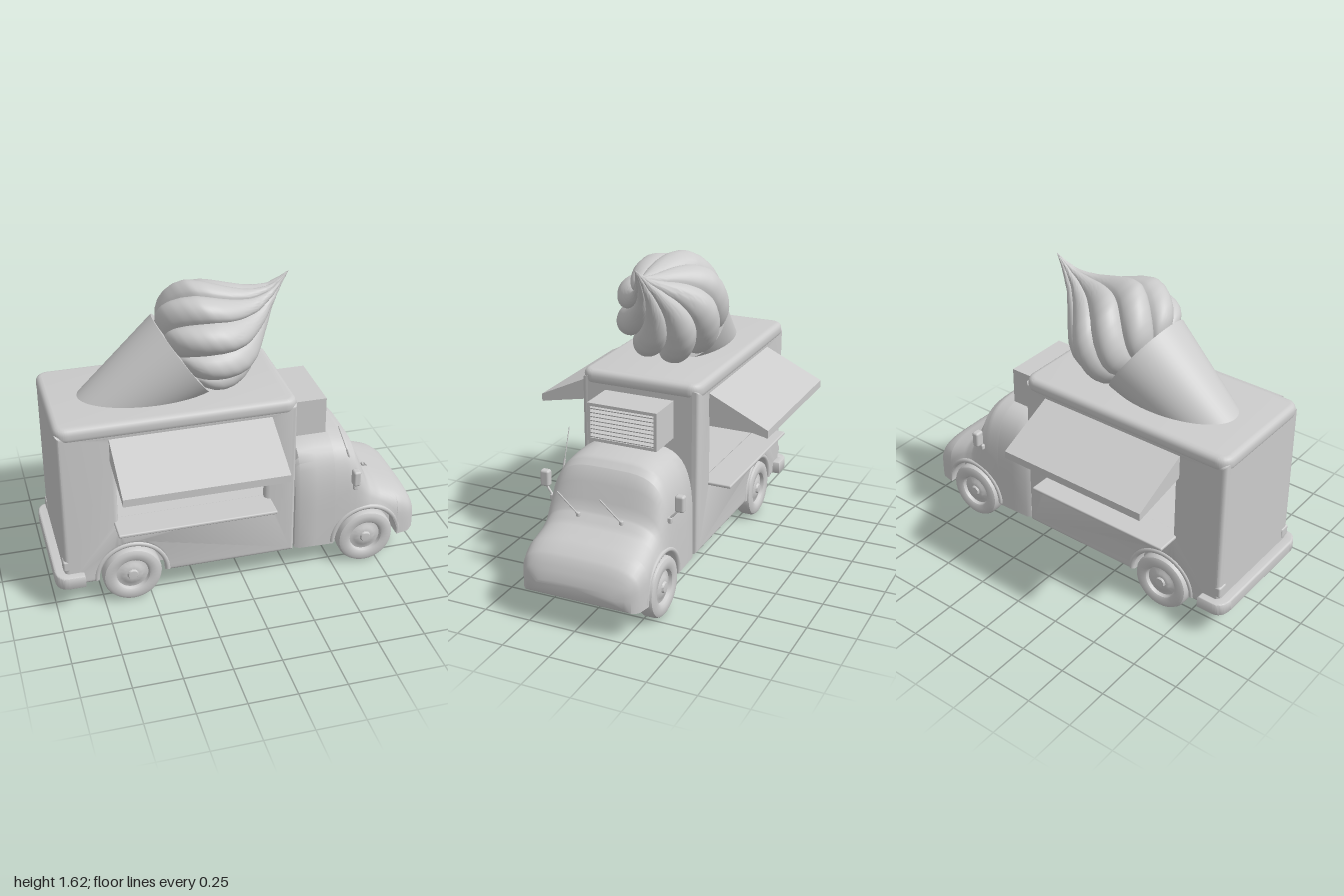
import * as THREE from 'three';
import { toCreasedNormals } from 'three/addons/utils/BufferGeometryUtils.js';
import { RoundedBoxGeometry } from 'three/addons/geometries/RoundedBoxGeometry.js';

const grey = new THREE.MeshStandardMaterial({ color: 0xcccccc });
const greyThin = new THREE.MeshStandardMaterial({ color: 0xcccccc, side: THREE.DoubleSide });
const WHEEL_Y = 0.155, REAR_X = -0.6, FRONT_X = 0.68;

export function createModel() {
  const root = new THREE.Group();

  const add = (name, geo, pos = [0, 0, 0], mat = grey) => {
    const m = new THREE.Mesh(geo, mat);
    m.name = name;
    m.position.set(...pos);
    root.add(m);
    return m;
  };
  // box from its min and max corners, optionally with rounded edges
  const box = (name, a, b, r = 0) => {
    const s = a.map((v, i) => b[i] - v), c = a.map((v, i) => (v + b[i]) / 2);
    return add(name, r ? new RoundedBoxGeometry(...s, 3, r) : new THREE.BoxGeometry(...s), c);
  };
  // thin rod between two points
  const rod = (name, a, b, r) => {
    const p = new THREE.Vector3(...a), q = new THREE.Vector3(...b);
    return add(name, new THREE.TubeGeometry(new THREE.LineCurve3(p, q), 1, r, 6), [0, 0, 0], greyThin);
  };
  // straight-line table lookup
  const lookup = (table, x) => {
    let i = 0;
    while (i < table.length - 2 && x > table[i + 1][0]) i++;
    const [x0, y0] = table[i], [x1, y1] = table[i + 1];
    return y0 + (y1 - y0) * THREE.MathUtils.clamp((x - x0) / (x1 - x0), 0, 1);
  };
  // skin over closed rings, capped at both ends
  const loft = (rings, crease) => {
    const n = rings[0].length, last = rings.length - 1, pos = [], idx = [];
    rings.forEach(r => r.forEach(p => pos.push(...p)));
    for (let i = 0; i < last; i++) for (let j = 0; j < n; j++) {
      const k = (j + 1) % n, a = i * n + j, b = i * n + k;
      idx.push(a, b, b + n, a, b + n, a + n);
    }
    [0, last].forEach((i, e) => {
      const c = pos.length / 3;
      pos.push(...[0, 1, 2].map(k => rings[i].reduce((s, p) => s + p[k], 0) / n));
      for (let j = 0; j < n; j++) {
        const a = i * n + j, b = i * n + (j + 1) % n;
        idx.push(c, ...(e ? [a, b] : [b, a]));
      }
    });
    const g = new THREE.BufferGeometry();
    g.setAttribute('position', new THREE.Float32BufferAttribute(pos, 3));
    g.setIndex(idx);
    g.computeVertexNormals();
    return toCreasedNormals(g, crease);
  };
  const roundRect = (x0, y0, x1, y1, r, S = THREE.Shape) => {
    const s = new S();
    s.moveTo(x0 + r, y0);
    s.lineTo(x1 - r, y0); s.quadraticCurveTo(x1, y0, x1, y0 + r);
    s.lineTo(x1, y1 - r); s.quadraticCurveTo(x1, y1, x1 - r, y1);
    s.lineTo(x0 + r, y1); s.quadraticCurveTo(x0, y1, x0, y1 - r);
    s.lineTo(x0, y0 + r); s.quadraticCurveTo(x0, y0, x0 + r, y0);
    return s;
  };
  const extrude = (shape, depth, bevel = 0) => toCreasedNormals(new THREE.ExtrudeGeometry(shape, {
    depth, bevelEnabled: bevel > 0, bevelSize: bevel, bevelThickness: bevel, bevelSegments: 4, curveSegments: 20,
  }), 0.6);

  // van body: two side walls with serving window and wheel arch
  const wall = new THREE.Shape();
  wall.moveTo(-0.925, 0.165);
  wall.lineTo(REAR_X - 0.2, 0.165);
  wall.absarc(REAR_X, 0.165, 0.2, Math.PI, 0, true);
  wall.lineTo(0.25, 0.165);
  wall.lineTo(0.25, 1.0);
  wall.lineTo(-0.925, 1.0);
  wall.holes.push(roundRect(-0.685, 0.465, 0.135, 0.98, 0.02, THREE.Path));
  const wallGeo = extrude(wall, 0.01, 0.025);
  for (const s of [1, -1]) {
    add('sideWall', wallGeo, [0, 0, s * 0.295 - 0.005]);
    box('rearFloorEdge', [-0.94, 0.142, s * 0.26 - 0.04], [-0.79, 0.2, s * 0.26 + 0.04]);
    box('floorEdge', [-0.41, 0.142, s * 0.26 - 0.04], [0.26, 0.2, s * 0.26 + 0.04]);
    const well = new THREE.CylinderGeometry(0.178, 0.178, 0.09, 24, 1, true, Math.PI / 2, Math.PI);
    add('rearWheelWell', well.rotateX(Math.PI / 2), [REAR_X, 0.16, s * 0.25], greyThin);
  }
  box('rearWall', [-0.95, 0.142, -0.29], [-0.9, 1.02, 0.29]);
  box('frontWall', [0.225, 0.142, -0.29], [0.275, 1.02, 0.29]);
  box('floor', [-0.94, 0.141, -0.225], [0.26, 0.36, 0.225]);

  // roof slab
  const roof = extrude(roundRect(-0.925, -0.3, 0.25, 0.3, 0.04), 0.02, 0.03);
  add('roof', roof.rotateX(-Math.PI / 2), [0, 1.01, 0]);

  // awnings and counters on both sides
  for (const s of [1, -1]) {
    const section = pts => new THREE.Shape(pts.map(([z, y]) => new THREE.Vector2(s * z, y)));
    const awningPart = (name, pts, x0, x1) =>
      add(name, extrude(section(pts), x1 - x0).rotateY(-Math.PI / 2), [x1, 0, 0]);
    awningPart('awning', [[0.315, 0.985], [0.642, 0.83], [0.642, 0.79], [0.63, 0.79], [0.63, 0.82], [0.315, 0.968]], -0.69, 0.14);
    for (const x of [-0.69, 0.128])
      awningPart('awningEnd', [[0.315, 0.975], [0.638, 0.825], [0.638, 0.79], [0.315, 0.855]], x, x + 0.012);
    box('counter', [-0.685, 0.477, s * 0.365 - 0.085], [0.14, 0.495, s * 0.365 + 0.085], 0.007);
  }

  // cab: cross-sections along x, the lower edge rising over the front wheels
  const top = [[0.285, 0.7], [0.31, 0.735], [0.4, 0.748], [0.5, 0.745], [0.58, 0.732], [0.62, 0.7], [0.66, 0.6],
    [0.7, 0.495], [0.757, 0.446], [0.82, 0.42], [0.89, 0.393], [0.945, 0.35], [0.977, 0.29], [0.995, 0.245]];
  const half = [[0.285, 0.3], [0.31, 0.315], [0.6, 0.325], [0.86, 0.33], [0.93, 0.315], [0.965, 0.285], [0.995, 0.21]];
  const R = 0.18;
  const stations = top.map(([x]) => x).concat([0.93, 0.965, FRONT_X - R - 0.001, FRONT_X + R + 0.001]);
  for (let i = 0; i <= 18; i++) stations.push(FRONT_X - R * Math.cos(Math.PI * i / 18));
  stations.sort((a, b) => a - b);
  const cabRings = stations.map(x => {
    const H = lookup(top, x), w = lookup(half, x), dx = x - FRONT_X;
    const arch = Math.abs(dx) <= R + 1e-6 ? WHEEL_Y + Math.sqrt(Math.max(0, R * R - dx * dx)) : 0.14;
    const b = x > 0.96 ? 0.14 + (x - 0.96) * 1.4 : arch;
    const side = [];
    for (let i = 0; i <= 12; i++) {
      const y = b + (H - b) * Math.sqrt(Math.max(0, Math.cos(Math.PI / 2 * i / 12)));
      const t = Math.max(0, (y - 0.2) / (H - 0.2));
      side.push([x, y, w * Math.pow(Math.max(0, 1 - t ** 4), 0.25)]);
    }
    return side.concat(side.slice(1).reverse().map(([px, y, z]) => [px, y, -z]));
  });
  add('cab', loft(cabRings, 0.75));
  box('cabUnderbody', [0.29, 0.141, -0.225], [0.93, 0.3, 0.225]);

  // wheels with arch flares; the profile runs from inner to outer face
  const tyre = [[0, -0.045], [0.13, -0.045], [0.148, -0.038], [0.155, -0.022], [0.155, 0.026], [0.148, 0.04],
    [0.132, 0.048], [0.1, 0.046], [0.09, 0.04], [0.084, 0.022], [0.06, 0.026], [0.05, 0.034], [0.03, 0.036], [0.024, 0.046], [0, 0.048]];
  const wheelGeo = toCreasedNormals(new THREE.LatheGeometry(tyre.map(p => new THREE.Vector2(...p)), 36), 0.6);
  for (const x of [REAR_X, FRONT_X]) for (const s of [1, -1]) {
    add('wheel', wheelGeo, [x, WHEEL_Y, s * 0.288]).rotation.x = s * Math.PI / 2;
    add('archFlare', new THREE.TorusGeometry(0.187, 0.014, 8, 28, Math.PI), [x, WHEEL_Y, s * 0.318]);
  }
  for (const x of [REAR_X, FRONT_X])
    rod('axle', [x, WHEEL_Y, -0.26], [x, WHEEL_Y, 0.26], 0.015);

  // wrap-around rear bumper and tail lamps
  const b = new THREE.Shape();
  b.moveTo(-0.86, 0.355); b.lineTo(-0.93, 0.355);
  b.quadraticCurveTo(-0.99, 0.355, -0.99, 0.28); b.lineTo(-0.99, -0.28);
  b.quadraticCurveTo(-0.99, -0.355, -0.93, -0.355); b.lineTo(-0.86, -0.355);
  b.lineTo(-0.86, -0.32); b.lineTo(-0.935, -0.32); b.lineTo(-0.935, 0.32); b.lineTo(-0.86, 0.32);
  add('rearBumper', extrude(b, 0.05, 0.01).rotateX(-Math.PI / 2), [0, 0.16, 0]);

  // mirrors, tail lamps
  for (const s of [1, -1]) {
    box('tailLamp', [-0.956, 0.235, s * 0.295 - 0.03], [-0.91, 0.295, s * 0.295 + 0.03], 0.01);
    box('mirror', [0.57, 0.53, s * 0.37 - 0.025], [0.61, 0.617, s * 0.37 + 0.025], 0.012);
    rod('mirrorArm', [0.6, 0.535, s * 0.36], [0.61, 0.485, s * 0.315], 0.006);
    box('mirrorFoot', [0.595, 0.47, s * 0.32 - 0.015], [0.62, 0.5, s * 0.32 + 0.015], 0.006);
  }

  // wipers and aerial
  for (const z of [0.25, 0.015]) {
    rod('wiper', [0.69, 0.56, z], [0.735, 0.487, z - 0.135], 0.004);
    box('wiperPivot', [0.718, 0.47, z - 0.145], [0.738, 0.492, z - 0.125], 0.006);
  }
  rod('aerial', [0.515, 0.838, 0.27], [0.582, 0.65, 0.27], 0.0025);
  rod('aerialBase', [0.57, 0.685, 0.27], [0.585, 0.64, 0.27], 0.006);

  // cooling unit above the cab: case, frame, slats and two fans
  box('coolerCase', [0.27, 0.765, -0.19], [0.44, 0.965, 0.19]);
  for (const s of [1, -1]) {
    box('coolerFrameSide', [0.44, 0.765, s * 0.182 - 0.008], [0.475, 0.965, s * 0.182 + 0.008]);
    box('coolerFrameEdge', [0.44, 0.865 + s * 0.092 - 0.008, -0.175], [0.475, 0.865 + s * 0.092 + 0.008, 0.175]);
    for (let i = 0; i < 6; i++) {
      const blade = box('fanBlade', [0.442, 0.87, s * 0.085 - 0.015], [0.447, 0.94, s * 0.085 + 0.015]);
      blade.geometry.translate(0, 0.04, 0);
      blade.position.y = 0.865;
      blade.rotation.x = i * Math.PI / 3;
    }
  }
  for (let i = 0; i < 8; i++) {
    const y = 0.79 + i * 0.0214;
    box('coolerSlat', [0.452, y - 0.003, -0.175], [0.474, y + 0.003, 0.175]).rotation.z = -0.4;
  }

  // wafer cone leaning out of the roof, cut off inside the roof slab
  const TILT = -0.975, RIM = [-0.25, 1.235, 0];
  const cone = new THREE.CylinderGeometry(0.245, 0.121, 0.75, 48, 40);
  cone.translate(0, -0.375, 0).rotateZ(TILT).translate(...RIM);
  const cp = cone.attributes.position;
  for (let i = 0; i < cp.count; i++) cp.setY(i, Math.max(cp.getY(i), 1.035));
  add('cone', toCreasedNormals(cone, 0.7));

  // twisted, ribbed ice cream swirl drawn out to a point
  const radius = [[-0.02, 0.19], [0, 0.225], [0.03, 0.26], [0.07, 0.285], [0.12, 0.298], [0.18, 0.3], [0.24, 0.288], [0.3, 0.25],
    [0.35, 0.205], [0.4, 0.158], [0.45, 0.115], [0.5, 0.076], [0.56, 0.042], [0.62, 0.018], [0.68, 0.001]];
  const bend = [[0, 0], [0.25, 0], [0.35, 0.015], [0.45, 0.03], [0.55, 0.028], [0.68, 0]];
  const swirl = [];
  for (let i = 0; i <= 42; i++) {
    const d = -0.02 + 0.7 * i / 42, r = lookup(radius, d), ring = [];
    for (let j = 0; j < 128; j++) {
      const a = j / 128 * Math.PI * 2, t = a + 2.6 * d;
      const rr = r * (0.8 + 0.2 * Math.pow(Math.abs(Math.cos(4 * j / 128 * Math.PI * 2)), 0.7));
      ring.push([lookup(bend, d) + rr * Math.cos(t), d, -rr * Math.sin(t)]);
    }
    swirl.push(ring);
  }
  const cream = add('iceCream', loft(swirl, 0.8), RIM);
  cream.rotation.z = TILT;

  return root;
}
